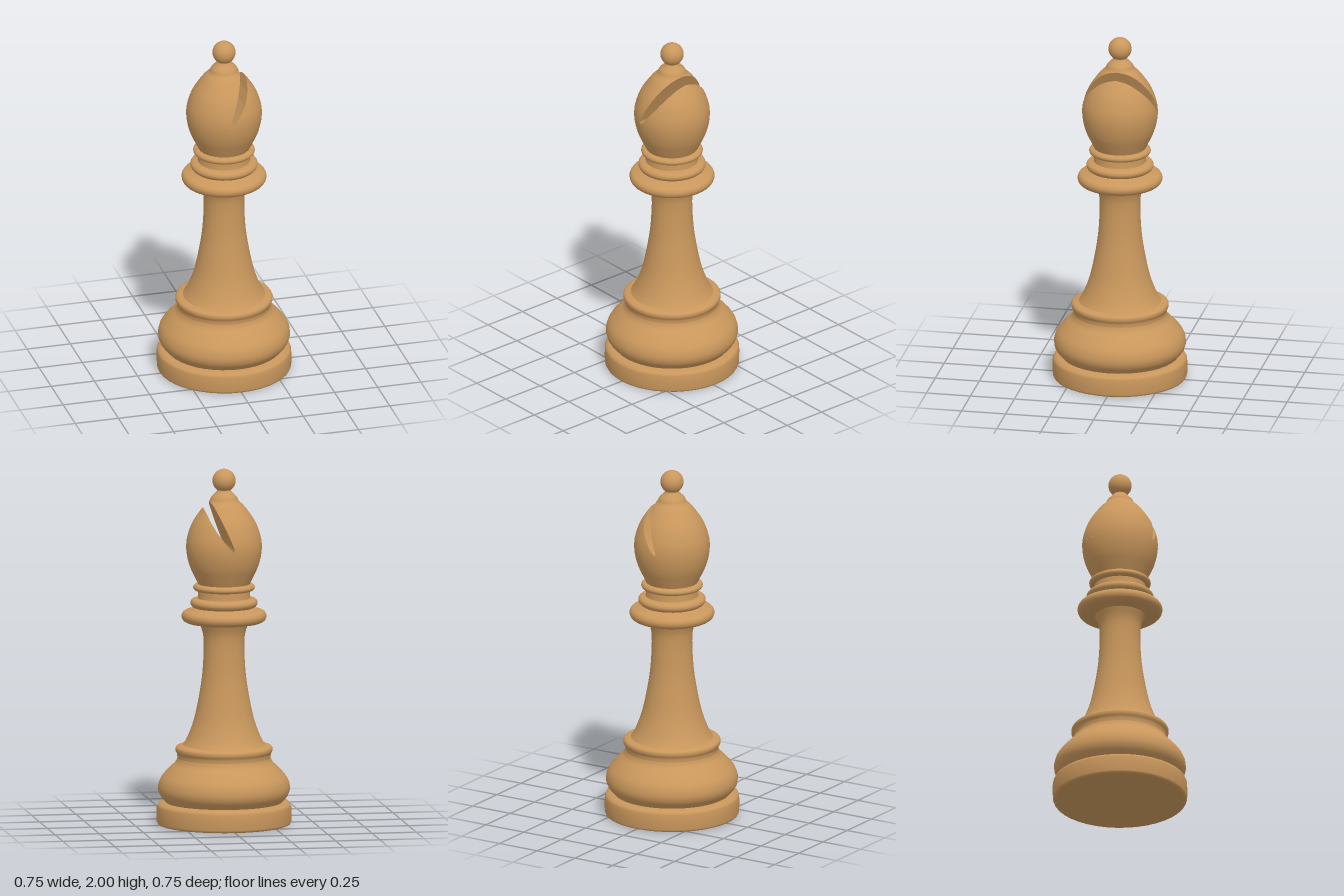
import * as THREE from 'three';

const SEG = 40;
const wood = new THREE.MeshStandardMaterial({ color: 0xc9975c });
wood.name = 'warm wood';

const toPoints = (pairs) => pairs.map(([r, y]) => new THREE.Vector2(r, y));
const smooth = (pairs, n) => new THREE.SplineCurve(toPoints(pairs)).getPoints(n);

// Head profile as [radius, height], bottom to top
const headProfile = smooth([
  [0.14, 1.345], [0.165, 1.395], [0.19, 1.45], [0.206, 1.51], [0.211, 1.57], [0.202, 1.63],
  [0.173, 1.705], [0.118, 1.785], [0.083, 1.82], [0.07, 1.845], [0.04, 1.875], [0.036, 1.89],
], 240);

// Piecewise linear lookup: value x at height y
function lookup(points, y) {
  let i = 1;
  while (i < points.length - 1 && points[i].y < y) i++;
  const p = points[i - 1], q = points[i];
  const t = THREE.MathUtils.clamp((y - p.y) / (q.y - p.y), 0, 1);
  return p.x + (q.x - p.x) * t;
}
const radiusAt = (y) => lookup(headProfile, y);

// Two edges of the slanted slot, meeting at its tip
const TIP = 1.555;
const slotLeft = toPoints([[-0.02, TIP], [-0.025, 1.57], [0.003, 1.64], [0.043, 1.735], [0.078, 1.813], [0.1, 1.83]]);
const slotRight = toPoints([[-0.02, TIP], [0.002, 1.575], [0.037, 1.62], [0.072, 1.67], [0.1, 1.725], [0.12, 1.785]]);

// Surface through a grid of points: rows go up, columns follow the angle
function loft(rows, normals) {
  const cols = rows[0].length, index = [];
  for (let i = 0; i < rows.length - 1; i++) {
    for (let j = 0; j < cols - 1; j++) {
      const a = i * cols + j, up = a + cols;
      index.push(a, up, a + 1, a + 1, up, up + 1);
    }
  }
  const geometry = new THREE.BufferGeometry();
  geometry.setAttribute('position', new THREE.Float32BufferAttribute(rows.flat(2), 3));
  geometry.setIndex(index);
  if (normals) geometry.setAttribute('normal', new THREE.Float32BufferAttribute(normals.flat(2), 3));
  else geometry.computeVertexNormals();
  return geometry;
}

// Part of the round head between two heights; arc(y, r) gives its start and end angle
function headPiece(y0, y1, steps, arc, walled) {
  const rows = [], normals = [], wall = [];
  for (let i = 0; i <= steps; i++) {
    const y = y0 + (y1 - y0) * i / steps, r = radiusAt(y);
    const slope = (radiusAt(y + 0.004) - radiusAt(y - 0.004)) / 0.008;
    const [start, end] = arc(y, r);
    const row = [], normalRow = [];
    for (let j = 0; j <= SEG; j++) {
      const t = start + (end - start) * j / SEG;
      row.push([r * Math.cos(t), y, r * Math.sin(t)]);
      normalRow.push(new THREE.Vector3(Math.cos(t), -slope, Math.sin(t)).normalize().toArray());
    }
    rows.push(row);
    normals.push(normalRow);
    wall.push([row[SEG], row[0]]);
  }
  return walled ? [loft(rows, normals), loft(wall)] : [loft(rows, normals)];
}

const cutAngle = (edge, y, r) => Math.acos(THREE.MathUtils.clamp(lookup(edge, y) / r, -1, 1));

export function createModel() {
  const model = new THREE.Group();
  model.name = 'chessBishop';
  const add = (name, geometry, parent = model) => {
    const mesh = new THREE.Mesh(geometry, wood);
    mesh.name = name;
    parent.add(mesh);
    return mesh;
  };
  const turn = (name, points) => add(name, new THREE.LatheGeometry(points, SEG));

  // Base: flat foot, bulging cushion and lip
  turn('footUnderside', toPoints([[0, 0], [0.36, 0]]));
  turn('foot', toPoints([[0.36, 0], [0.37, 0.004], [0.375, 0.015], [0.376, 0.06], [0.375, 0.1], [0.368, 0.115], [0.35, 0.123], [0.31, 0.127]]));
  turn('cushion', smooth([
    [0.315, 0.115], [0.335, 0.137], [0.36, 0.17], [0.368, 0.21], [0.353, 0.26], [0.31, 0.312], [0.273, 0.348], [0.26, 0.375],
  ], 32));
  turn('baseLip', smooth([[0.26, 0.37], [0.262, 0.395], [0.271, 0.415], [0.268, 0.435], [0.245, 0.445], [0.19, 0.453]], 24));

  // Tapering stem
  turn('stem', smooth([
    [0.235, 0.44], [0.205, 0.49], [0.168, 0.59], [0.14, 0.72], [0.122, 0.84], [0.114, 0.96], [0.114, 1.04], [0.122, 1.09], [0.142, 1.14],
  ], 32));

  // Collar rings and the short neck
  turn('wideCollar', smooth([
    [0.11, 1.133], [0.19, 1.134], [0.225, 1.146], [0.237, 1.172], [0.226, 1.197], [0.195, 1.209], [0.165, 1.22], [0.15, 1.235],
  ], 32));
  turn('middleCollar', smooth([[0.14, 1.218], [0.172, 1.223], [0.188, 1.245], [0.178, 1.267], [0.14, 1.275]], 24));
  turn('neck', toPoints([[0.15, 1.265], [0.145, 1.28], [0.144, 1.32]]));
  turn('narrowCollar', smooth([[0.13, 1.315], [0.16, 1.317], [0.172, 1.333], [0.162, 1.35], [0.13, 1.354]], 24));

  // Head split by the slot
  const head = new THREE.Group();
  head.name = 'head';
  model.add(head);
  const pieces = {
    lowerHead: headPiece(1.345, TIP, 16, () => [0, 2 * Math.PI], false),
    mainLobe: headPiece(TIP, 1.89, 44, (y, r) => {
      const a = cutAngle(slotLeft, y, r);
      return [a, 2 * Math.PI - a];
    }, true),
    sideLobe: headPiece(TIP, 1.785, 32, (y, r) => {
      const a = cutAngle(slotRight, y, r);
      return [-a, a];
    }, true),
  };
  for (const [name, [shell, wall]] of Object.entries(pieces)) {
    add(name, shell, head);
    if (wall) add(name + 'SlotWall', wall, head);
  }

  // Ball on top
  add('finial', new THREE.SphereGeometry(0.065, 32, 20)).position.y = 1.935;
  return model;
}
